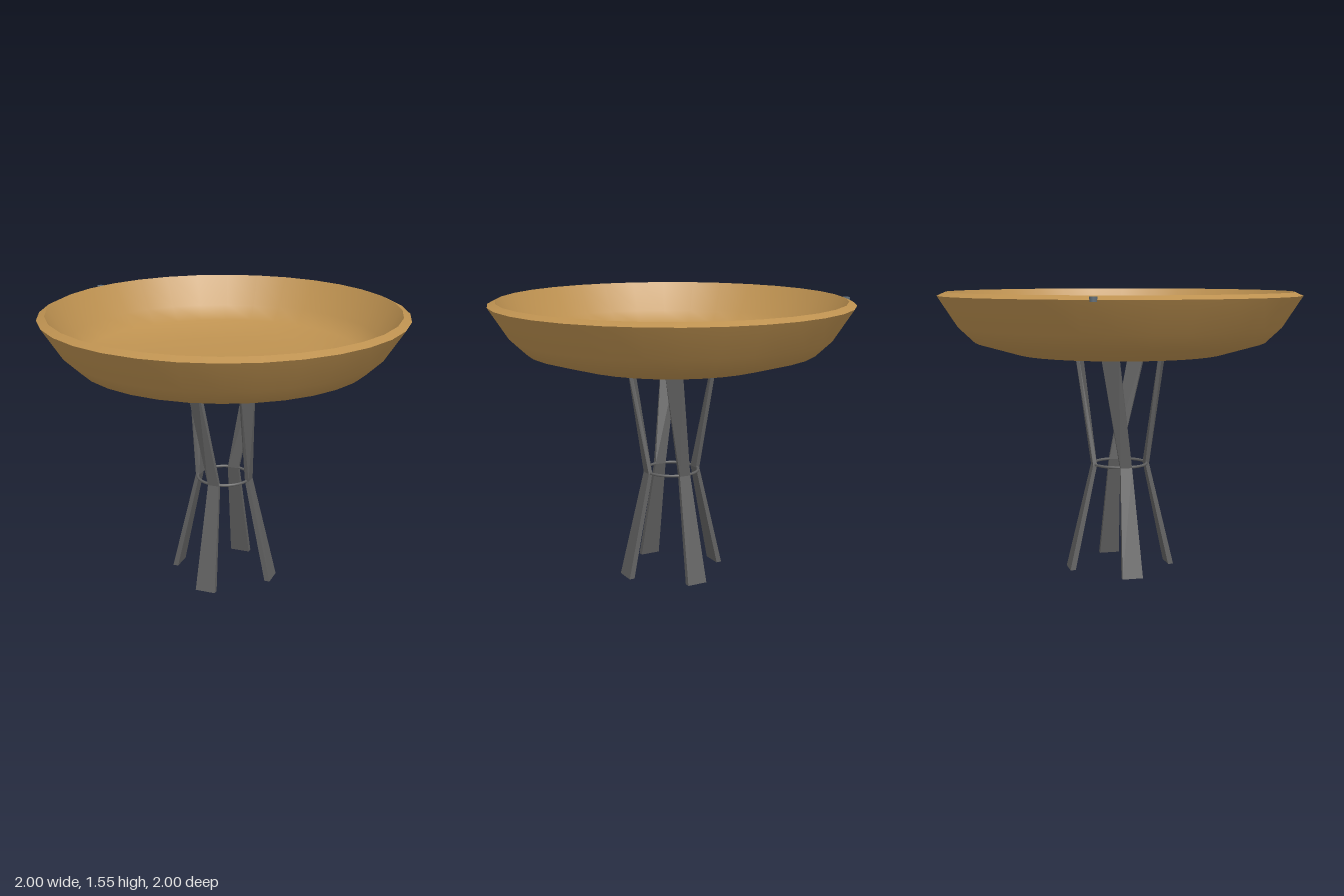
import * as THREE from 'three';

const wood = new THREE.MeshStandardMaterial({ color: 0xbd9150 });
wood.name = 'warm wood';
const steel = new THREE.MeshStandardMaterial({ color: 0x606060 });
steel.name = 'dark steel';
const slate = new THREE.MeshStandardMaterial({ color: 0x5f6b75 });
slate.name = 'slate grey';

function add(parent, name, geometry, material) {
  const mesh = new THREE.Mesh(geometry, material);
  mesh.name = name;
  parent.add(mesh);
  return mesh;
}

// Smooth turned surface; separate calls keep the rim edges sharp
function turned(points, segments = 32) {
  return new THREE.LatheGeometry(points.map(([r, y]) => new THREE.Vector2(r, y)), segments);
}

// Flat bar lofted through sections { y, radius, angle in degrees, width, thickness }
function barGeometry(sections) {
  const positions = [];
  const rings = sections.map(({ y, radius, angle, width, thickness }) => {
    const a = THREE.MathUtils.degToRad(angle);
    return [[-1, 1], [1, 1], [1, -1], [-1, -1]].map(([u, v]) => {
      const side = u * width / 2, out = radius + v * thickness / 2;
      return [out * Math.sin(a) + side * Math.cos(a), y, out * Math.cos(a) - side * Math.sin(a)];
    });
  });
  const quad = (a, b, c, d) => positions.push(...a, ...b, ...c, ...a, ...c, ...d);
  for (let i = 0; i < rings.length - 1; i++) {
    for (let j = 0; j < 4; j++) {
      const k = (j + 1) % 4;
      quad(rings[i][j], rings[i][k], rings[i + 1][k], rings[i + 1][j]);
    }
  }
  const top = rings[rings.length - 1], bottom = rings[0];
  quad(top[0], top[1], top[2], top[3]);
  quad(bottom[3], bottom[2], bottom[1], bottom[0]);
  const geometry = new THREE.BufferGeometry();
  geometry.setAttribute('position', new THREE.Float32BufferAttribute(positions, 3));
  geometry.computeVertexNormals();
  return geometry;
}

export function createModel() {
  const model = new THREE.Group();
  model.name = 'bowlOnStand';

  // Shallow bowl: outside, bevelled rim and inside
  const bowl = new THREE.Group();
  bowl.name = 'bowl';
  model.add(bowl);
  add(bowl, 'bowlOutside', turned([[0, 1.215], [0.57, 1.215], [0.8, 1.28], [0.89, 1.365], [1, 1.535]]), wood);
  add(bowl, 'bowlRim', turned([[1, 1.535], [0.957, 1.555]]), wood);
  add(bowl, 'bowlInside', turned([[0.957, 1.555], [0.85, 1.39], [0.765, 1.315], [0.55, 1.25], [0, 1.25]]), wood);

  // Small stud set in the rim
  add(bowl, 'rimStud', new THREE.CylinderGeometry(0.02, 0.02, 0.025, 12), slate)
    .position.set(-0.977, 1.538, -0.115);

  // Four waisted legs, twisted between waist and top
  const stand = new THREE.Group();
  stand.name = 'stand';
  model.add(stand);
  ['frontLeg', 'leftLeg', 'backLeg', 'rightLeg'].forEach((name, i) => {
    const leg = add(stand, name, barGeometry([
      { y: 0, radius: 0.285, angle: 14, width: 0.115, thickness: 0.03 },
      { y: 0.59, radius: 0.15, angle: 13, width: 0.065, thickness: 0.022 },
      { y: 1.2, radius: 0.235, angle: i === 1 ? -24 : -12, width: 0.097, thickness: 0.02 },
    ]), steel);
    leg.rotation.y = i * Math.PI / 2;
  });

  // Thin ring at the waist
  const waist = add(stand, 'waistRing', new THREE.TorusGeometry(0.15, 0.008, 8, 32), steel);
  waist.rotation.x = Math.PI / 2;
  waist.position.y = 0.592;

  // Flat ring under the bowl
  const shape = new THREE.Shape().absarc(0, 0, 0.253, 0, Math.PI * 2);
  shape.holes.push(new THREE.Path().absarc(0, 0, 0.225, 0, Math.PI * 2, true));
  const ring = new THREE.ExtrudeGeometry(shape, { depth: 0.027, bevelEnabled: false, curveSegments: 32 });
  const topRing = add(stand, 'topRing', ring, steel);
  topRing.rotation.x = -Math.PI / 2;
  topRing.position.y = 1.189;

  return model;
}
